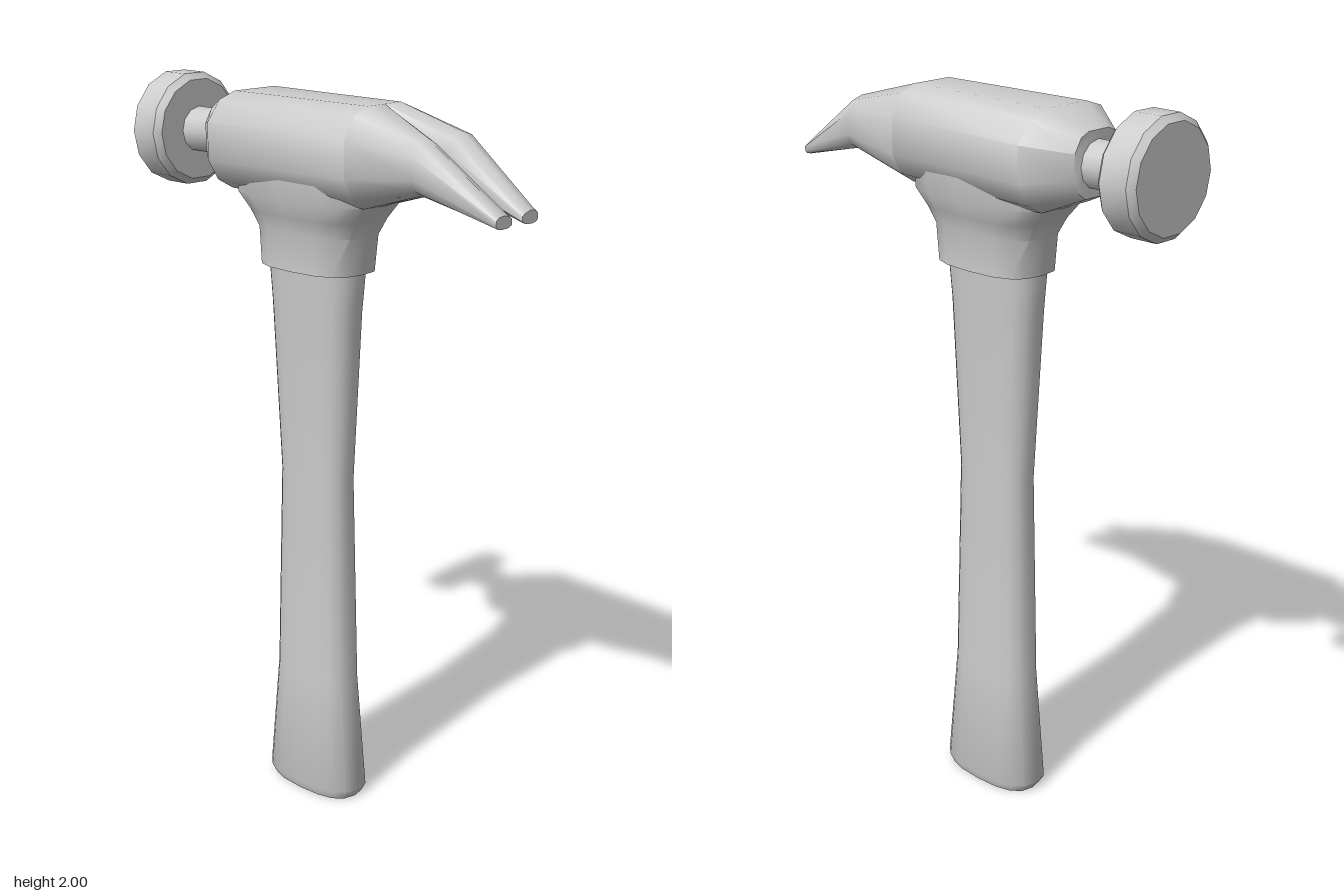
import * as THREE from 'three';
import { toCreasedNormals } from 'three/addons/utils/BufferGeometryUtils.js';

const material = new THREE.MeshStandardMaterial({ color: 0xcccccc });

// Skin a list of rings (counter-clockwise about the path) and cap both ends.
function loft(rings, crease = 0.7) {
  const n = rings[0].length, last = (rings.length - 1) * n, index = [];
  for (let r = 0; r < rings.length - 1; r++) {
    for (let i = 0; i < n; i++) {
      const a = r * n + i, b = r * n + (i + 1) % n;
      index.push(a, b, b + n, a, b + n, a + n);
    }
  }
  for (let i = 1; i < n - 1; i++) {
    index.push(0, i + 1, i, last, last + i, last + i + 1);
  }
  const geometry = new THREE.BufferGeometry();
  geometry.setAttribute('position', new THREE.Float32BufferAttribute(rings.flat(2), 3));
  geometry.setIndex(index);
  return toCreasedNormals(geometry, crease);
}

// Rounded horizontal section between x0 and x1 with half depth d.
function oval([y, x0, x1, d], power = 2.6, sides = 16) {
  const bulge = (v) => Math.sign(v) * Math.pow(Math.abs(v), 2 / power);
  return Array.from({ length: sides }, (_, i) => {
    const t = (i / sides) * Math.PI * 2;
    return [(x0 + x1) / 2 + bulge(Math.sin(t)) * (x1 - x0) / 2, y, bulge(Math.cos(t)) * d];
  });
}

// Half sections as [z, y] fractions, from the top round the outside.
const HALF = [[0, 1], [0.42, 1], [0.74, 0.86], [1, 0.42], [1, -0.35], [0.8, -0.78], [0.5, -1], [0, -1]];
const PRONG = [[0.2, 0.75], [0.5, 1], [0.82, 0.85], [1, 0.4], [1, -0.4], [0.9, -0.8], [0.65, -1], [0.2, -0.9]];
const INNER = [[0, -0.5], [0, 0.35]];

// Vertical section at x, spanning y0..y1 and z0..z1.
function section(profile, [x, y0, y1, z0, z1]) {
  return profile.map(([u, v]) => [x, (y0 + y1) / 2 + v * (y1 - y0) / 2, z0 + u * (z1 - z0)]);
}

// Turned part lying along the x axis of the head; profile is [radius, x].
function turned(profile, sides) {
  const geometry = new THREE.LatheGeometry(profile.map(([r, x]) => new THREE.Vector2(r, -x)), sides);
  geometry.rotateZ(Math.PI / 2);
  geometry.translate(0, 1.846, 0);
  return toCreasedNormals(geometry, 0.7);
}

export function createModel() {
  const hammer = new THREE.Group();
  hammer.name = 'hammer';
  const add = (name, geometry) => {
    const mesh = new THREE.Mesh(geometry, material);
    mesh.name = name;
    hammer.add(mesh);
  };

  // Waisted handle with a chamfered foot
  add('handle', loft([
    [0, -0.195, 0.1, 0.076],
    [0.025, -0.21, 0.112, 0.086],
    [0.36, -0.18, 0.082, 0.071],
    [0.95, -0.165, 0.068, 0.061],
    [1.42, -0.19, 0.092, 0.075],
    [1.56, -0.2, 0.105, 0.083],
  ].map((s) => oval(s))));

  // Socket flaring up into the head
  add('socket', loft([
    [1.53, -0.21, 0.12, 0.106],
    [1.63, -0.22, 0.133, 0.106],
    [1.675, -0.245, 0.158, 0.122],
    [1.72, -0.285, 0.195, 0.14],
    [1.8, -0.28, 0.19, 0.145],
  ].map((s) => oval(s, 2.8))));

  // Head body
  const mirrored = HALF.slice(1, -1).reverse().map(([u, v]) => [-u, v]);
  add('headBody', loft([
    [-0.385, 1.765, 1.93, 0, 0.085],
    [-0.28, 1.72, 1.975, 0, 0.172],
    [0.19, 1.72, 1.975, 0, 0.145],
  ].map((s) => section([...HALF, ...mirrored], s)), 0.9));

  // Pair of claws, splitting from the body and curving down
  const claw = [
    section([...HALF, ...INNER], [0.19, 1.72, 1.975, 0, 0.145]),
    section([...PRONG, ...INNER], [0.39, 1.78, 1.92, 0.014, 0.12]),
    section([...PRONG, ...INNER], [0.62, 1.725, 1.758, 0.02, 0.079]),
  ];
  add('leftClaw', loft(claw, 0.9));
  add('rightClaw', loft(claw.map((ring) => ring.map(([x, y, z]) => [x, y, -z]).reverse()), 0.9));

  // Neck and striking face
  add('neck', turned([[0.062, -0.37], [0.062, -0.52]], 12));
  add('strikingFace', turned([
    [0, -0.505], [0.138, -0.505], [0.155, -0.522], [0.155, -0.603], [0.138, -0.62], [0, -0.62],
  ], 14));

  return hammer;
}
